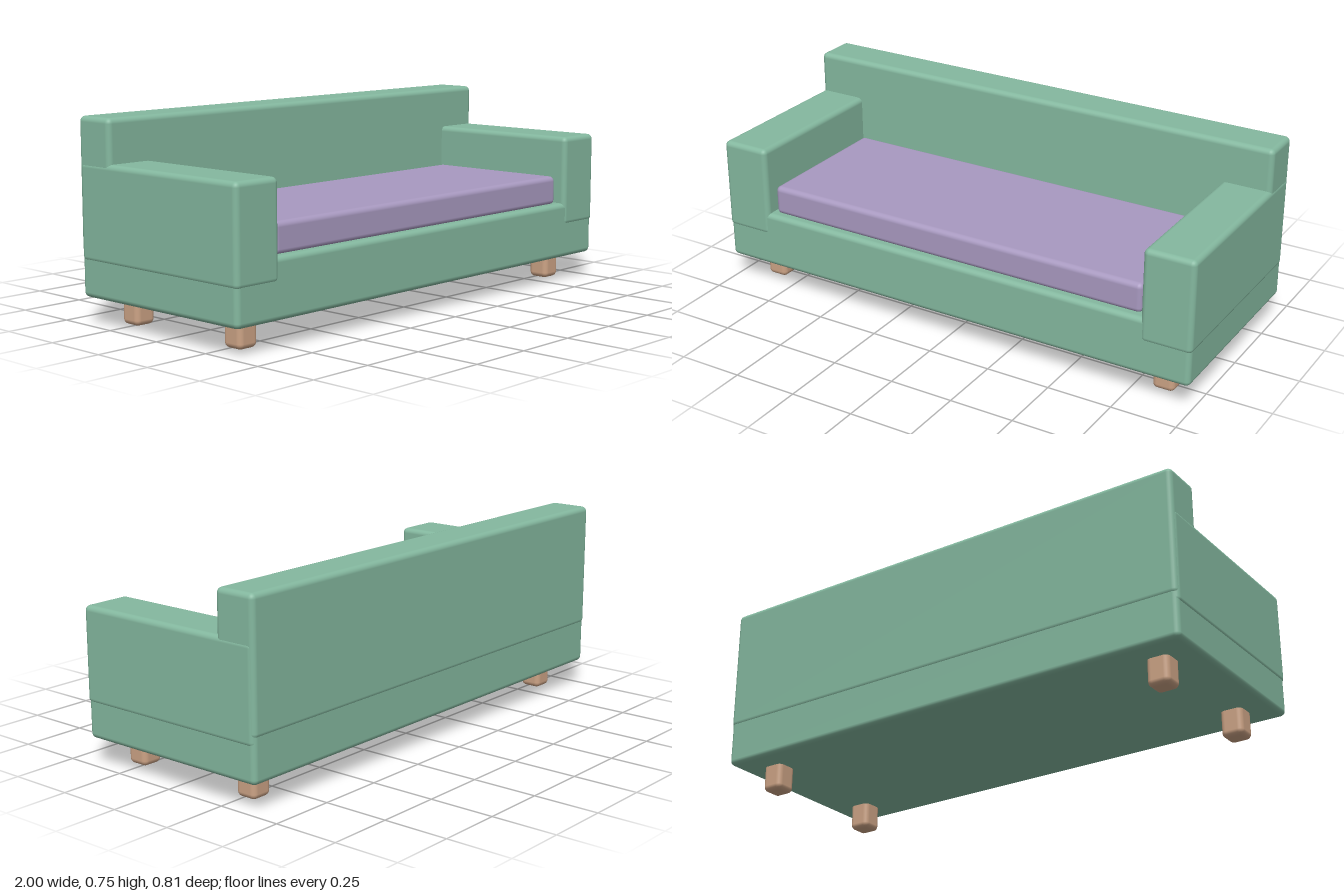
import * as THREE from 'three';
import { RoundedBoxGeometry } from 'three/addons/geometries/RoundedBoxGeometry.js';

export function createModel() {
  const sofa = new THREE.Group();
  sofa.name = 'sofa';

  const material = (name, color) => {
    const m = new THREE.MeshStandardMaterial({ color });
    m.name = name;
    return m;
  };
  const fabric = material('green fabric', 0x84b89f);
  const cushionFabric = material('purple fabric', 0xa899c0);
  const wood = material('light wood', 0xcca385);

  // Rounded box given by its [min, max] range on each axis
  const block = (name, mat, [x0, x1], [y0, y1], [z0, z1], radius) => {
    const geometry = new RoundedBoxGeometry(x1 - x0, y1 - y0, z1 - z0, 3, radius);
    const mesh = new THREE.Mesh(geometry, mat);
    mesh.name = name;
    mesh.position.set((x0 + x1) / 2, (y0 + y1) / 2, (z0 + z1) / 2);
    sofa.add(mesh);
  };

  // Body
  block('base', fabric, [-0.997, 0.997], [0.1, 0.32], [-0.402, 0.402], 0.02);
  block('backrest', fabric, [-0.998, 0.998], [0.26, 0.75], [-0.405, -0.238], 0.02);
  block('seatCushion', cushionFabric, [-0.79, 0.79], [0.315, 0.43], [-0.222, 0.37], 0.02);

  // Mirrored arms and legs
  for (const [side, s] of [['left', 1], ['right', -1]]) {
    const range = (a, b) => (s > 0 ? [a, b] : [-b, -a]);
    block(side + 'Arm', fabric, range(0.803, 1), [0.23, 0.588], [-0.4, 0.405], 0.02);
    block(side + 'FrontLeg', wood, range(0.814, 0.9), [0, 0.12], [0.225, 0.311], 0.02);
    block(side + 'BackLeg', wood, range(0.814, 0.9), [0, 0.12], [-0.307, -0.221], 0.02);
  }

  return sofa;
}
